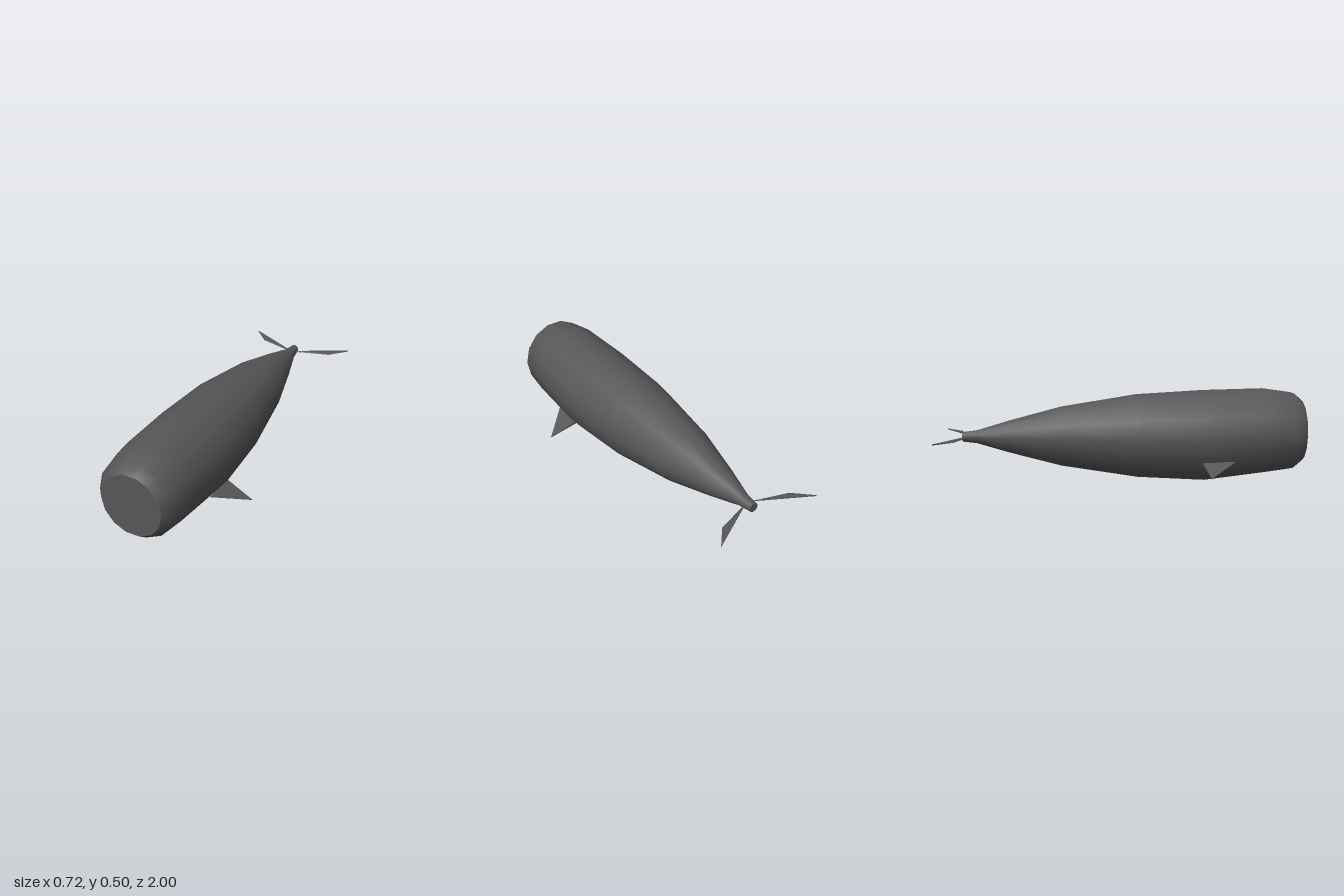
import * as THREE from 'three';
import { ConvexGeometry } from 'three/addons/geometries/ConvexGeometry.js';

const SIDES = 14;

// Body cross-sections from nose to tail: z, centre y, half width, half height
const SECTIONS = [
  [1.0, 0.27, 0.168, 0.172],
  [0.95, 0.273, 0.208, 0.214],
  [0.79, 0.274, 0.232, 0.236],
  [0.45, 0.25, 0.245, 0.252],
  [0.08, 0.25, 0.225, 0.231],
  [-0.34, 0.25, 0.16, 0.164],
  [-0.63, 0.25, 0.085, 0.087],
  [-0.8, 0.25, 0.035, 0.036],
  [-0.88, 0.25, 0.025, 0.026],
];

function ring([z, cy, rx, ry]) {
  return Array.from({ length: SIDES }, (_, j) => {
    const a = (j / SIDES) * Math.PI * 2;
    return [rx * Math.cos(a), cy + ry * Math.sin(a), z];
  });
}

function buildGeometry(points, index) {
  const g = new THREE.BufferGeometry();
  g.setAttribute('position', new THREE.Float32BufferAttribute(points.flat(), 3));
  g.setIndex(index);
  g.computeVertexNormals();
  return g;
}

// Smooth skin through all the sections
function skin() {
  const index = [];
  for (let i = 0; i < SECTIONS.length - 1; i++) {
    for (let j = 0; j < SIDES; j++) {
      const k = (j + 1) % SIDES;
      const a = i * SIDES + j, b = i * SIDES + k;
      const c = a + SIDES, d = b + SIDES;
      index.push(a, c, b, b, c, d);
    }
  }
  return buildGeometry(SECTIONS.flatMap(ring), index);
}

// Flat end, with its own vertices so the rim stays sharp
function cap(section, facesFront) {
  const index = [];
  for (let j = 1; j < SIDES - 1; j++) {
    index.push(0, ...(facesFront ? [j, j + 1] : [j + 1, j]));
  }
  return buildGeometry(ring(section), index);
}

export function createModel() {
  const group = new THREE.Group();
  const grey = new THREE.MeshStandardMaterial({ color: 0x575758 });
  grey.name = 'dark grey';

  const add = (name, geometry) => {
    const mesh = new THREE.Mesh(geometry, grey);
    mesh.name = name;
    group.add(mesh);
  };
  // Faceted plate enclosing the corners, mirrored by side
  const plate = (side, corners) =>
    new ConvexGeometry(corners.map(([x, y, z]) => new THREE.Vector3(side * x, y, z)));

  add('body', skin());
  add('noseCap', cap(SECTIONS[0], true));
  add('tailCap', cap(SECTIONS.at(-1), false));

  for (const [label, side] of [['left', 1], ['right', -1]]) {
    // Swept fin: sharp front edge, blunt back, drooping tip
    add(label + 'Fin', plate(side, [
      [0.2, 0.128, 0.6],
      [0.2, 0.129, 0.42], [0.195, 0.115, 0.42],
      [0.361, 0.068, 0.445], [0.36, 0.064, 0.445],
    ]));
    // Level tail fluke, thickest at its trailing corner
    add(label + 'Fluke', plate(side, [
      [0.015, 0.252, -0.835], [0.015, 0.257, -0.84],
      [0.22, 0.25, -0.9], [0.2, 0.257, -0.905],
      [0.312, 0.25, -1.0], [0.312, 0.256, -1.0],
    ]));
  }
  return group;
}
